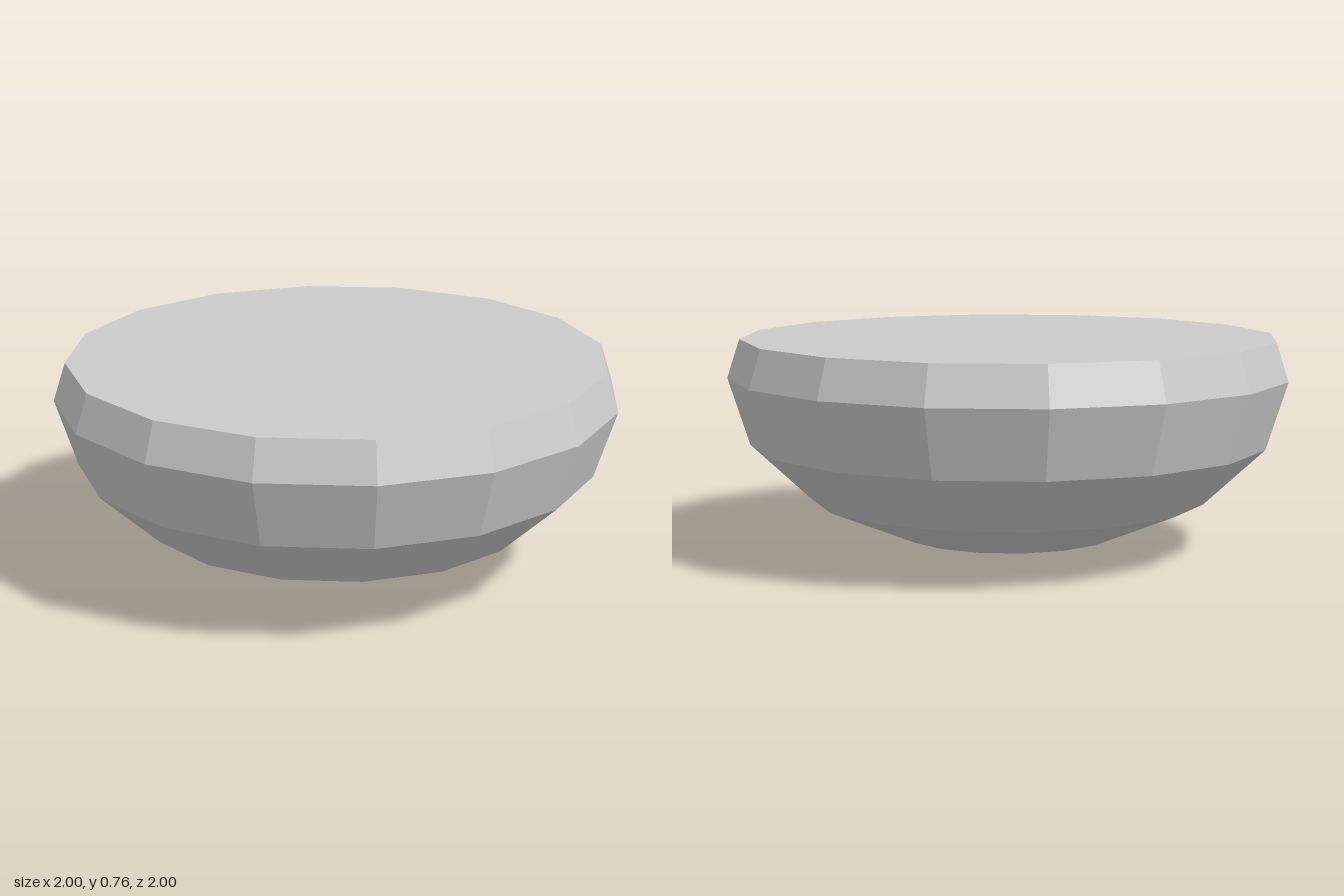
import * as THREE from 'three';

const SIDES = 16;
const DEPTH = 0.626; // height of the widest ring

export function createModel() {
  const group = new THREE.Group();
  group.name = 'facetedBowl';
  const material = new THREE.MeshStandardMaterial({ color: 0xcccccc, flatShading: true });

  // Rounded underside: a squashed quarter arc from the bottom point to the widest ring
  const profile = [];
  for (let i = 0; i <= 4; i++) {
    const a = (i * Math.PI) / 8;
    profile.push(new THREE.Vector2(Math.sin(a), DEPTH * (1 - Math.cos(a))));
  }
  // Rim leaning inwards
  const rim = new THREE.Vector2(0.956, 0.762);
  profile.push(rim);

  const body = new THREE.Mesh(new THREE.LatheGeometry(profile, SIDES), material);
  body.name = 'bowlBody';
  group.add(body);

  // Flat lid closing the top
  const lid = new THREE.Mesh(new THREE.CircleGeometry(rim.x, SIDES), material);
  lid.name = 'flatTop';
  lid.rotation.x = -Math.PI / 2;
  lid.position.y = rim.y;
  group.add(lid);

  return group;
}
